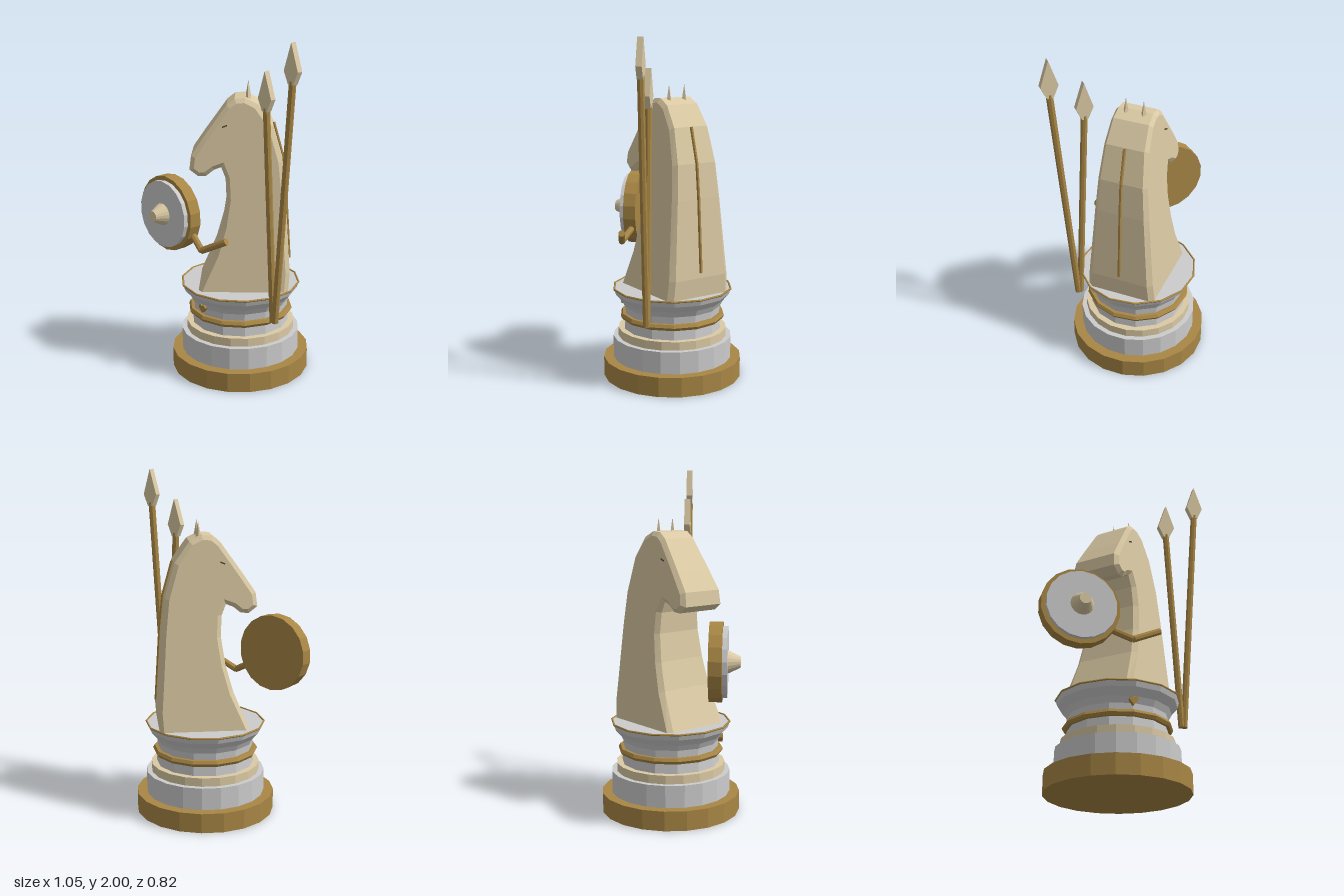
import * as THREE from 'three';

const mat = (name, color) => {
  const m = new THREE.MeshStandardMaterial({ color });
  m.name = name;
  m.flatShading = true;
  return m;
};

export function createModel() {
  const gold = mat('gold', 0xa98745);
  const silver = mat('silver', 0xcccccc);
  const cream = mat('cream', 0xdbcaa4);
  const dark = mat('dark brown', 0x5a4a30);
  const root = new THREE.Group();
  root.name = 'knightChessPiece';

  const add = (name, geo, material, pos = [0, 0, 0], parent = root) => {
    const mesh = new THREE.Mesh(geo, material);
    mesh.name = name;
    mesh.position.set(...pos);
    parent.add(mesh);
    return mesh;
  };
  const lathe = (pts, sides) =>
    new THREE.LatheGeometry(pts.map(p => new THREE.Vector2(...p)), sides);
  const outline = pts => new THREE.Shape(pts.map(p => new THREE.Vector2(...p)));

  // Straight round bar between two points
  const bar = (name, a, b, r, material, parent) => {
    const p = new THREE.Vector3(...a), q = new THREE.Vector3(...b);
    const d = q.clone().sub(p);
    const m = add(name, new THREE.CylinderGeometry(r, r, d.length(), 8), material,
      p.add(q).multiplyScalar(0.5).toArray(), parent);
    m.quaternion.setFromUnitVectors(new THREE.Vector3(0, 1, 0), d.normalize());
    return m;
  };

  // Stepped base
  const step = (name, r, y0, y1, material) =>
    add(name, new THREE.CylinderGeometry(r, r, y1 - y0, 20), material, [0, (y0 + y1) / 2, 0]);
  step('baseFoot', 0.41, 0, 0.115, gold);
  step('baseDrum', 0.352, 0.115, 0.245, silver);
  step('baseCollar', 0.322, 0.245, 0.295, cream);

  // Flared cup with two gold rings
  add('cup', lathe([[0, 0.29], [0.29, 0.29], [0.282, 0.39], [0.286, 0.43], [0.305, 0.465],
    [0.34, 0.505], [0.352, 0.538], [0, 0.538]], 14), silver);
  const ring = (name, r, y, t) => add(name, lathe(
    Array.from({ length: 7 }, (_, i) => {
      const a = i / 6 * Math.PI * 2;
      return [r + t * Math.cos(a), y + t * Math.sin(a)];
    }), 14), gold);
  ring('waistRing', 0.292, 0.372, 0.02);
  ring('rimRing', 0.35, 0.538, 0.006);

  // Small heart on the front of the cup
  add('heartOrnament', new THREE.ExtrudeGeometry(outline([[0, -0.028], [0.026, 0.004],
    [0.02, 0.02], [0.01, 0.022], [0, 0.014], [-0.01, 0.022], [-0.02, 0.02], [-0.026, 0.004]]),
    { depth: 0.03, bevelEnabled: false }), gold, [0, 0.44, 0.28]);

  // Horse: bevelled profile, narrowed towards the top, turned 45 degrees
  const horse = new THREE.Group();
  horse.name = 'horse';
  horse.rotation.y = -Math.PI * 0.75;
  root.add(horse);
  const halfWidth = y => 0.21 - 0.092 * (y - 0.54) / 1.11;
  const profile = outline([
    [-0.28, 0.51], [-0.29, 0.65], [-0.28, 0.8], [-0.262, 1.1], [-0.242, 1.3], [-0.185, 1.5],
    [-0.1, 1.62], [-0.03, 1.655], [0.03, 1.65], [0.075, 1.615], [0.2, 1.44], [0.275, 1.33],
    [0.285, 1.25], [0.235, 1.212], [0.19, 1.215], [0.145, 1.25], [0.105, 1.265],
    [0.08, 1.2], [0.075, 1.08], [0.1, 0.92], [0.145, 0.76], [0.25, 0.51],
  ].reverse());
  const body = new THREE.ExtrudeGeometry(profile, {
    depth: 0.36, bevelEnabled: true, bevelThickness: 0.03, bevelSize: 0.025,
    bevelOffset: -0.025, bevelSegments: 1,
  });
  body.translate(0, 0, -0.18);
  const p = body.attributes.position;
  for (let i = 0; i < p.count; i++) p.setZ(i, p.getZ(i) * halfWidth(p.getY(i)) / 0.21);
  body.computeVertexNormals();
  add('horseBody', body, cream, [0, 0, 0], horse);

  // Ears and eyes on both sides
  for (const s of [-1, 1]) {
    add('ear', new THREE.ConeGeometry(0.016, 0.09, 4), cream, [-0.045, 1.685, s * 0.052], horse);
    const eye = add('eye', new THREE.BoxGeometry(0.03, 0.007, 0.01), dark,
      [0.085, 1.5, s * halfWidth(1.5)], horse);
    eye.rotation.z = -0.4;
  }

  // Mane line down the back of the neck
  const mane = new THREE.CurvePath();
  const manePts = [[-0.19, 1.5], [-0.245, 1.3], [-0.265, 1.1], [-0.291, 0.68]]
    .map(q => new THREE.Vector3(q[0], q[1], 0));
  for (let i = 0; i < 3; i++) mane.add(new THREE.LineCurve3(manePts[i], manePts[i + 1]));
  add('maneLine', new THREE.TubeGeometry(mane, 16, 0.01, 6), gold, [0, 0, 0], horse);

  // Bent strap holding the shield
  bar('strapInner', [-0.13, 0.86, 0.265], [0, 0.795, 0.305], 0.02, gold);
  bar('strapOuter', [0, 0.795, 0.305], [0.165, 0.88, 0.265], 0.02, gold);

  // Round shield facing front
  const shield = new THREE.Group();
  shield.name = 'shield';
  shield.position.set(-0.302, 0.952, 0);
  root.add(shield);
  const disc = (name, r0, r1, z0, z1, material) => {
    const g = new THREE.CylinderGeometry(r1, r0, z1 - z0, 18).rotateX(Math.PI / 2);
    add(name, g, material, [0, 0, (z0 + z1) / 2], shield);
  };
  disc('shieldRim', 0.225, 0.225, 0.242, 0.316, gold);
  disc('shieldFace', 0.2, 0.2, 0.316, 0.343, silver);
  disc('shieldBoss', 0.066, 0.032, 0.343, 0.414, cream);

  // Two spears crossing at the foot
  const headShape = outline([[-0.018, -0.02], [0.018, -0.02], [0.05, 0.05], [0, 0.2], [-0.05, 0.05]]);
  for (const [foot, x, y] of [[0.352, 0.285, 1.63], [0.366, 0.475, 1.8]]) {
    const spear = new THREE.Group();
    spear.name = 'spear';
    root.add(spear);
    bar('spearShaft', [foot, 0.395, 0.077], [x, y, 0.077], 0.02, gold, spear);
    add('spearHead', new THREE.ExtrudeGeometry(headShape, { depth: 0.034, bevelEnabled: false }),
      cream, [x, y, 0.06], spear);
  }
  return root;
}
